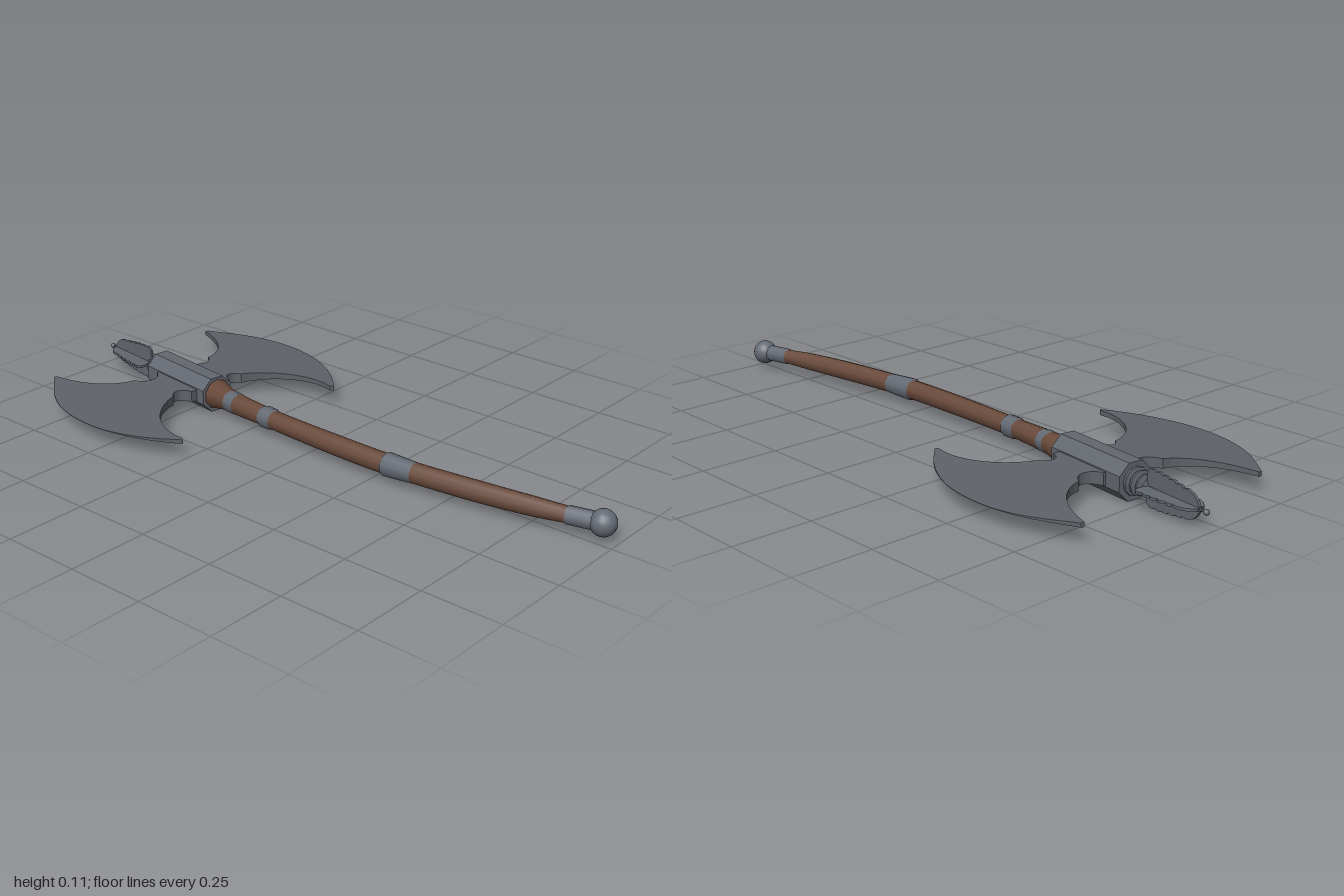
import * as THREE from 'three';

export function createModel() {
  const model = new THREE.Group();
  const mat = (name, color, extra = {}) => {
    const m = new THREE.MeshStandardMaterial({ color, ...extra });
    m.name = name;
    return m;
  };
  const steel = mat('steel', 0x62666e, { flatShading: true });
  const smoothSteel = mat('fitting steel', 0x646a74);
  const bladeSteel = mat('blade steel', 0x5e6168, { flatShading: true });
  const wood = mat('wood', 0x694a3b);
  const add = (parent, name, geometry, material) => {
    const mesh = new THREE.Mesh(geometry, material);
    mesh.name = name;
    parent.add(mesh);
    return mesh;
  };
  const Y = 0.058;

  // Curved haft: path runs from the head to the pommel
  const path = new THREE.CatmullRomCurve3([
    [-0.018, -0.43], [-0.034, -0.34], [-0.05, -0.185], [-0.066, 0.08],
    [-0.069, 0.32], [-0.045, 0.58], [-0.013, 0.79], [0.021, 0.95],
  ].map(([x, z]) => new THREE.Vector3(x, Y, z)));
  const at = (z) => path.getPointAt(THREE.MathUtils.clamp((z + 0.43) / 1.38, 0, 1));

  // Sweep along part of the haft with a list of [z, radius] stations
  const sweep = (name, stations, material, segments) => {
    const z0 = stations[0][0], z1 = stations[stations.length - 1][0];
    const pts = Array.from({ length: 13 }, (_, i) => at(z0 + (z1 - z0) * i / 12));
    const curve = new THREE.CatmullRomCurve3(pts);
    const sides = 10;
    const geo = new THREE.TubeGeometry(curve, segments, 1, sides);
    const p = geo.attributes.position;
    const v = new THREE.Vector3();
    for (let i = 0; i <= segments; i++) {
      const c = curve.getPointAt(i / segments);
      const z = z0 + (z1 - z0) * i / segments;
      let k = 0;
      while (k < stations.length - 2 && z > stations[k + 1][0]) k++;
      const [a, ra] = stations[k], [b, rb] = stations[k + 1];
      const r = THREE.MathUtils.lerp(ra, rb, (z - a) / (b - a));
      for (let j = 0; j <= sides; j++) {
        const n = i * (sides + 1) + j;
        v.fromBufferAttribute(p, n).sub(c).multiplyScalar(r).add(c);
        p.setXYZ(n, v.x, v.y, v.z);
      }
    }
    return add(model, name, geo, material);
  };
  sweep('haft', [[-0.43, 0.048], [-0.37, 0.034], [-0.18, 0.029], [0.1, 0.031],
    [0.33, 0.031], [0.6, 0.031], [0.75, 0.029], [0.9, 0.022]], wood, 48);
  for (const z of [-0.34, -0.18]) {
    sweep('haftRing', [[z - 0.026, 0.027], [z - 0.02, 0.034], [z + 0.02, 0.034], [z + 0.026, 0.027]], smoothSteel, 13);
  }
  sweep('gripRing', [[0.285, 0.027], [0.293, 0.036], [0.34, 0.034], [0.39, 0.031], [0.396, 0.027]], smoothSteel, 14);
  sweep('pommelCollar', [[0.85, 0.02], [0.858, 0.027], [0.94, 0.027]], smoothSteel, 10);
  add(model, 'pommel', new THREE.SphereGeometry(0.039, 16, 12), smoothSteel).position.set(0.023, Y, 0.957);

  // Head group: local y follows the head axis, local z points up
  const head = new THREE.Group();
  head.name = 'head';
  head.position.set(0, Y, -0.575);
  head.rotation.set(-Math.PI / 2, 0, -0.126);
  model.add(head);

  // Eight-sided socket
  const socket = new THREE.CylinderGeometry(0.06, 0.06, 0.29, 8);
  socket.rotateY(Math.PI / 8);
  add(head, 'socket', socket, steel);

  // Blade: crescent outline with scooped notches, thinning toward the edge
  const s = new THREE.Shape();
  s.moveTo(0.04, 0.09);
  s.lineTo(0.062, 0.088);
  s.quadraticCurveTo(0.075, 0.05, 0.113, 0.053);
  s.quadraticCurveTo(0.135, 0.06, 0.15, 0.09);
  s.bezierCurveTo(0.22, 0.105, 0.285, 0.185, 0.305, 0.303);
  s.lineTo(0.316, 0.302);
  s.splineThru([[0.389, 0.188], [0.427, 0.09], [0.44, -0.017], [0.43, -0.12], [0.4, -0.21],
    [0.36, -0.285], [0.303, -0.362]].map(([x, y]) => new THREE.Vector2(x, y)));
  s.lineTo(0.295, -0.352);
  s.bezierCurveTo(0.315, -0.24, 0.235, -0.13, 0.137, -0.098);
  s.quadraticCurveTo(0.125, -0.072, 0.1, -0.077);
  s.quadraticCurveTo(0.08, -0.085, 0.076, -0.112);
  s.lineTo(0.04, -0.112);
  s.closePath();
  const bladeGeo = new THREE.ExtrudeGeometry(s, { depth: 1, bevelEnabled: false, curveSegments: 10 });
  bladeGeo.translate(0, 0, -0.5);
  const bp = bladeGeo.attributes.position;
  for (let i = 0; i < bp.count; i++) {
    const half = Math.max(0.0008, 0.019 * (0.445 - bp.getX(i)) / 0.385);
    bp.setZ(i, bp.getZ(i) * 2 * half);
  }
  bladeGeo.computeVertexNormals();
  add(head, 'leftBlade', bladeGeo, bladeSteel);
  add(head, 'rightBlade', bladeGeo, bladeSteel).rotation.y = Math.PI;

  // Stacked rings between socket and finial
  const profile = [[0, 0.14], [0.042, 0.145], [0.042, 0.152], [0.02, 0.157], [0.037, 0.163], [0.037, 0.169],
    [0.018, 0.174], [0.031, 0.18], [0.031, 0.186], [0.014, 0.191], [0.022, 0.197], [0, 0.204]];
  add(head, 'neckRings', new THREE.LatheGeometry(profile.map(([x, y]) => new THREE.Vector2(x, y)), 12), steel);

  // Finial: two crossed plates with notched edges
  const side = [[0.012, 0.196], [0.046, 0.198]];
  for (let i = 0; i < 5; i++) {
    const y = 0.205 + i * 0.026;
    const w = 0.055 - 0.0006 * i * i;
    side.push([w - 0.003, y], [w, y + 0.004], [w, y + 0.018], [w - 0.003, y + 0.022], [w - 0.006, y + 0.024]);
  }
  side.push([0.042, 0.352], [0.035, 0.372], [0.022, 0.388], [0.008, 0.396]);
  const outline = [...side, ...side.map(([x, y]) => [-x, y]).reverse()];
  const finGeo = new THREE.ExtrudeGeometry(
    new THREE.Shape(outline.map(([x, y]) => new THREE.Vector2(x, y))), { depth: 0.008, bevelEnabled: false });
  finGeo.translate(0, 0, -0.004);
  for (let i = 0; i < 2; i++) add(head, 'finialFin', finGeo, steel).rotation.y = i * Math.PI / 2;

  // Slender tip with a small bead
  const tip = new THREE.CylinderGeometry(0.004, 0.007, 0.23, 8);
  add(head, 'tipRod', tip, steel).position.y = 0.305;
  add(head, 'tipBead', new THREE.SphereGeometry(0.009, 10, 8), smoothSteel).position.y = 0.419;

  return model;
}
